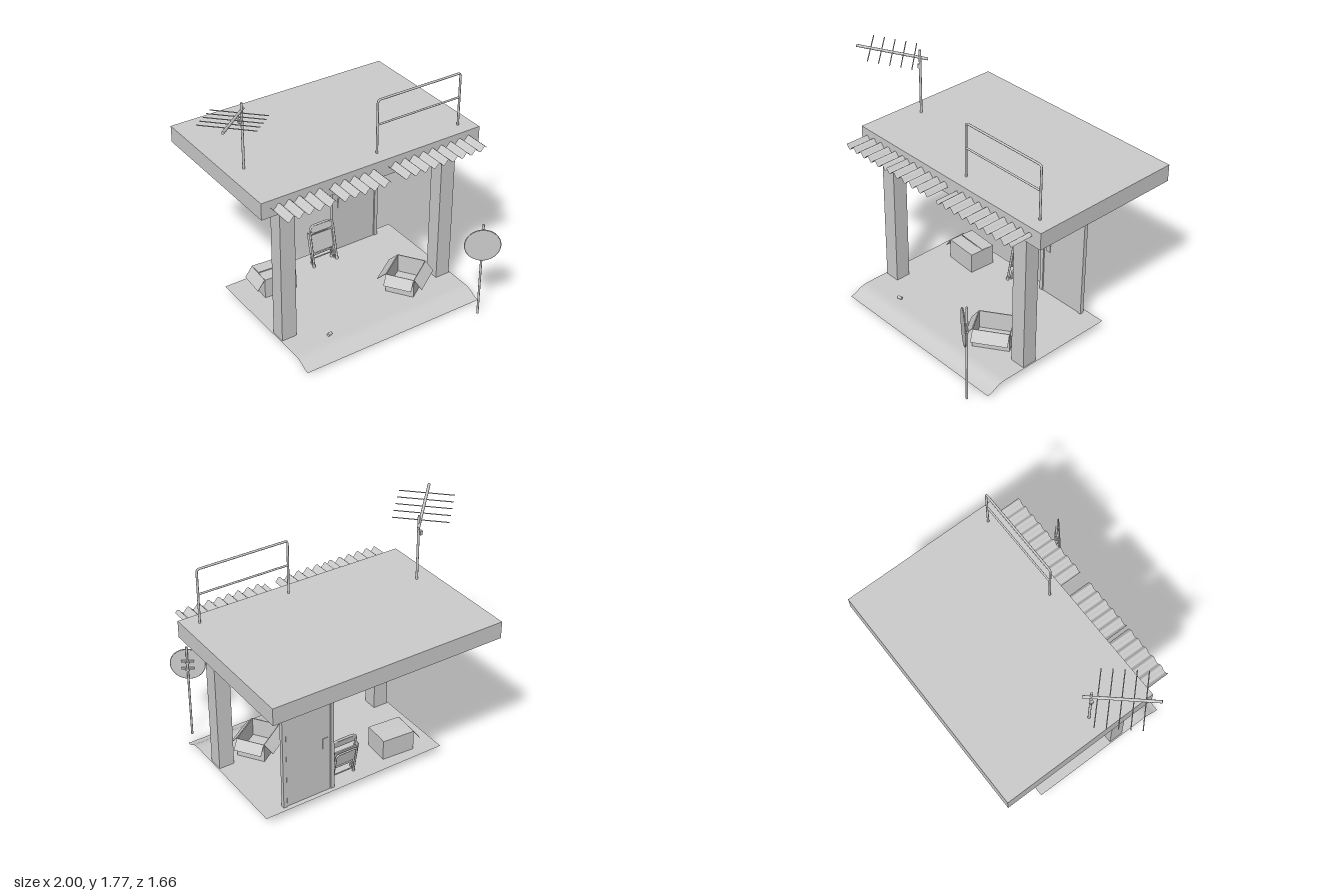
import * as THREE from 'three';

const grey = new THREE.MeshStandardMaterial({ color: 0xcccccc });
const sheet = new THREE.MeshStandardMaterial({ color: 0xcccccc, side: THREE.DoubleSide });
const V = (x, y, z) => new THREE.Vector3(x, y, z);

function add(parent, name, geometry, x = 0, y = 0, z = 0, material = grey) {
  const mesh = new THREE.Mesh(geometry, material);
  mesh.name = name;
  mesh.position.set(x, y, z);
  parent.add(mesh);
  return mesh;
}

function group(parent, name, x = 0, y = 0, z = 0) {
  const g = new THREE.Group();
  g.name = name;
  g.position.set(x, y, z);
  parent.add(g);
  return g;
}

// Box given by its limits
function block(parent, name, x0, x1, y0, y1, z0, z1) {
  return add(parent, name, new THREE.BoxGeometry(x1 - x0, y1 - y0, z1 - z0),
    (x0 + x1) / 2, (y0 + y1) / 2, (z0 + z1) / 2);
}

// Straight round bar between two points
function bar(parent, name, a, b, r, sides = 10) {
  const mesh = add(parent, name, new THREE.CylinderGeometry(r, r, a.distanceTo(b), sides));
  mesh.position.copy(a).add(b).multiplyScalar(0.5);
  mesh.quaternion.setFromUnitVectors(V(0, 1, 0), b.clone().sub(a).normalize());
  return mesh;
}

// Upside-down U of bent tube in the xy plane
function hoop(parent, name, x0, x1, y0, y1, z, r, round) {
  const path = new THREE.CurvePath();
  path.add(new THREE.LineCurve3(V(x0, y0, z), V(x0, y1 - round, z)));
  path.add(new THREE.QuadraticBezierCurve3(V(x0, y1 - round, z), V(x0, y1, z), V(x0 + round, y1, z)));
  path.add(new THREE.LineCurve3(V(x0 + round, y1, z), V(x1 - round, y1, z)));
  path.add(new THREE.QuadraticBezierCurve3(V(x1 - round, y1, z), V(x1, y1, z), V(x1, y1 - round, z)));
  path.add(new THREE.LineCurve3(V(x1, y1 - round, z), V(x1, y0, z)));
  return add(parent, name, new THREE.TubeGeometry(path, 100, r, 8), 0, 0, 0, sheet);
}

// Panel with rounded corners
function panel(parent, name, x0, x1, y0, y1, z, r) {
  const s = new THREE.Shape();
  s.moveTo(x0 + r, y0).lineTo(x1 - r, y0).quadraticCurveTo(x1, y0, x1, y0 + r);
  s.lineTo(x1, y1 - r).quadraticCurveTo(x1, y1, x1 - r, y1);
  s.lineTo(x0 + r, y1).quadraticCurveTo(x0, y1, x0, y1 - r);
  s.lineTo(x0, y0 + r).quadraticCurveTo(x0, y0, x0 + r, y0);
  return add(parent, name, new THREE.ExtrudeGeometry(s, { depth: 0.01, bevelEnabled: false, curveSegments: 6 }), 0, 0, z);
}

// Cardboard box; flaps = [length, droop] for front, +x, back and -x
function carton(parent, name, x, z, w, d, h, turn, flaps) {
  const g = group(parent, name, x, 0.065, z), t = 0.004;
  g.rotation.y = turn;
  block(g, 'boxBottom', -w / 2, w / 2, 0, t, -d / 2, d / 2);
  for (let k = 0; k < 4; k++) {
    const side = group(g, 'boxSide');
    side.rotation.y = k * Math.PI / 2;
    const width = k % 2 ? d : w, out = (k % 2 ? w : d) / 2;
    block(side, 'boxWall', -width / 2, width / 2, 0, h, out - t, out);
    const [len, droop] = flaps[k];
    const flap = new THREE.BoxGeometry(width - 0.004, 0.003, len).translate(0, 0, len / 2);
    add(side, 'boxFlap', flap, 0, h, out).rotation.x = droop;
  }
}

export function createModel() {
  const model = new THREE.Group();
  model.name = 'porch';

  // Roof slab and pillars
  block(model, 'roof', -0.75, 1, 1.125, 1.25, -0.835, 0.345);
  block(model, 'pillarRight', -0.59, -0.475, 0.063, 1.125, 0.19, 0.302);
  block(model, 'pillarLeft', 0.72, 0.835, 0.063, 1.125, 0.19, 0.302);

  // Floor sheet with a front edge curving down to the street
  const profile = [[-0.45, 0.063], [0.47, 0.063], [0.51, 0.06], [0.545, 0.05], [0.575, 0.032], [0.6, 0.02], [0.63, 0.014]];
  const floor = new THREE.PlaneGeometry(1.445, 1, 1, profile.length - 1).rotateX(-Math.PI / 2);
  const fp = floor.attributes.position;
  for (let i = 0; i < fp.count; i++) {
    const [z, y] = profile[Math.floor(i / 2)];
    fp.setY(i, y);
    fp.setZ(i, z);
  }
  floor.computeVertexNormals();
  add(model, 'floor', floor, 0.1225, 0, 0, sheet);

  // Corrugated awning sheets
  for (const [x0, x1, y, tilt] of [[-0.69, -0.28, 1.193, 0.01], [-0.265, 0.145, 1.193, -0.01], [0.23, 0.925, 1.193, 0.005]]) {
    const w = x1 - x0;
    const wave = new THREE.PlaneGeometry(w, 0.18, Math.round(w / 0.01), 1).rotateX(-Math.PI / 2);
    const p = wave.attributes.position;
    for (let i = 0; i < p.count; i++) p.setY(i, 0.017 * Math.sin(p.getX(i) * 2 * Math.PI / 0.077) + tilt * p.getX(i));
    wave.computeVertexNormals();
    add(model, 'awning', wave, (x0 + x1) / 2, y, 0.435, sheet);
  }

  // Roof railing
  const railing = group(model, 'railing');
  hoop(railing, 'railHoop', 0.21, 0.89, 1.25, 1.648, 0.245, 0.008, 0.02);
  bar(railing, 'railMiddle', V(0.21, 1.465, 0.245), V(0.89, 1.465, 0.245), 0.007);

  // Aerial: mast, sloping boom and five cross rods
  const aerial = group(model, 'aerial');
  bar(aerial, 'mast', V(-0.62, 1.25, -0.08), V(-0.62, 1.735, -0.08), 0.009);
  const b0 = V(-0.93, 1.757, 0.222), b1 = V(-0.585, 1.666, -0.122);
  bar(aerial, 'boom', b0, b1, 0.01);
  for (let i = 0; i < 5; i++) {
    const c = b0.clone().lerp(b1, 0.2 + i * 0.152);
    bar(aerial, 'rod', c.clone().add(V(-0.137, 0, -0.137)), c.clone().add(V(0.137, 0, 0.137)), 0.0035, 6);
  }
  block(aerial, 'mastClamp', -0.643, -0.625, 1.59, 1.622, -0.097, -0.075);

  // Door with frame, recessed leaf and handle plates
  const door = group(model, 'door');
  block(door, 'doorJamb', 0.285, 0.312, 0.063, 0.855, -0.42, -0.39);
  block(door, 'doorJamb', 0.663, 0.69, 0.063, 0.855, -0.42, -0.39);
  block(door, 'doorHead', 0.312, 0.663, 0.835, 0.855, -0.42, -0.39);
  block(door, 'doorLeaf', 0.316, 0.659, 0.063, 0.825, -0.415, -0.396);
  block(door, 'handlePlate', 0.335, 0.375, 0.425, 0.508, -0.42, -0.389);

  // Round sign turned towards the corner, with two brackets on its post
  const sign = group(model, 'sign', 0.757, 0, 0.735);
  sign.rotation.y = -0.605;
  bar(sign, 'signPost', V(0, 0, 0), V(0, 0.75, 0), 0.008);
  add(sign, 'signDisc', new THREE.CylinderGeometry(0.124, 0.124, 0.008, 40).rotateX(Math.PI / 2), 0, 0.595, 0.02);
  add(sign, 'signRim', new THREE.TorusGeometry(0.122, 0.005, 6, 40), 0, 0.595, 0.02);
  for (const y of [0.563, 0.622]) {
    block(sign, 'signBracket', -0.045, 0.045, y - 0.007, y + 0.007, 0.006, 0.017);
    block(sign, 'signClamp', -0.016, 0.016, y - 0.007, y + 0.007, -0.012, 0.008);
  }

  // Closed carton with one loose flap, and an open carton
  carton(model, 'closedBox', -0.3, -0.265, 0.25, 0.2, 0.152, -0.07,
    [[0.099, Math.PI], [0.07, Math.PI - 0.04], [0.099, Math.PI + 0.04], [0.095, 0.95]]);
  carton(model, 'openBox', 0.488, 0.243, 0.26, 0.21, 0.145, 0.6,
    [[0.09, 0.85], [0.085, 0.9], [0.09, 0.75], [0.085, 0.9]]);

  // Folded chair leaning on the door
  const chair = group(model, 'foldingChair', 0.158, 0.07, -0.29);
  chair.rotation.x = -0.2;
  hoop(chair, 'backFrame', -0.1, 0.1, 0, 0.322, 0, 0.008, 0.05);
  hoop(chair, 'legFrame', -0.085, 0.085, 0, 0.235, -0.05, 0.007, 0.03);
  hoop(chair, 'legBrace', -0.092, 0.092, 0, 0.082, -0.025, 0.007, 0.035);
  panel(chair, 'backrest', -0.09, 0.09, 0.262, 0.315, -0.006, 0.022);
  panel(chair, 'seat', -0.095, 0.095, 0.095, 0.238, -0.03, 0.018);
  bar(chair, 'chairRung', V(-0.085, 0.04, -0.05), V(0.085, 0.04, -0.05), 0.005);
  for (const s of [-1, 1]) {
    block(chair, 'seatHinge', s * 0.098 - 0.004, s * 0.098 + 0.004, 0.1, 0.26, -0.04, -0.01);
    bar(chair, 'frontFoot', V(s * 0.1, -0.004, 0), V(s * 0.1, 0.02, 0), 0.011);
    bar(chair, 'rearFoot', V(s * 0.085, -0.004, -0.05), V(s * 0.085, 0.02, -0.05), 0.01);
  }

  // Small can lying near the kerb
  bar(model, 'can', V(-0.305, 0.075, 0.435), V(-0.275, 0.075, 0.425), 0.011, 14);

  return model;
}
